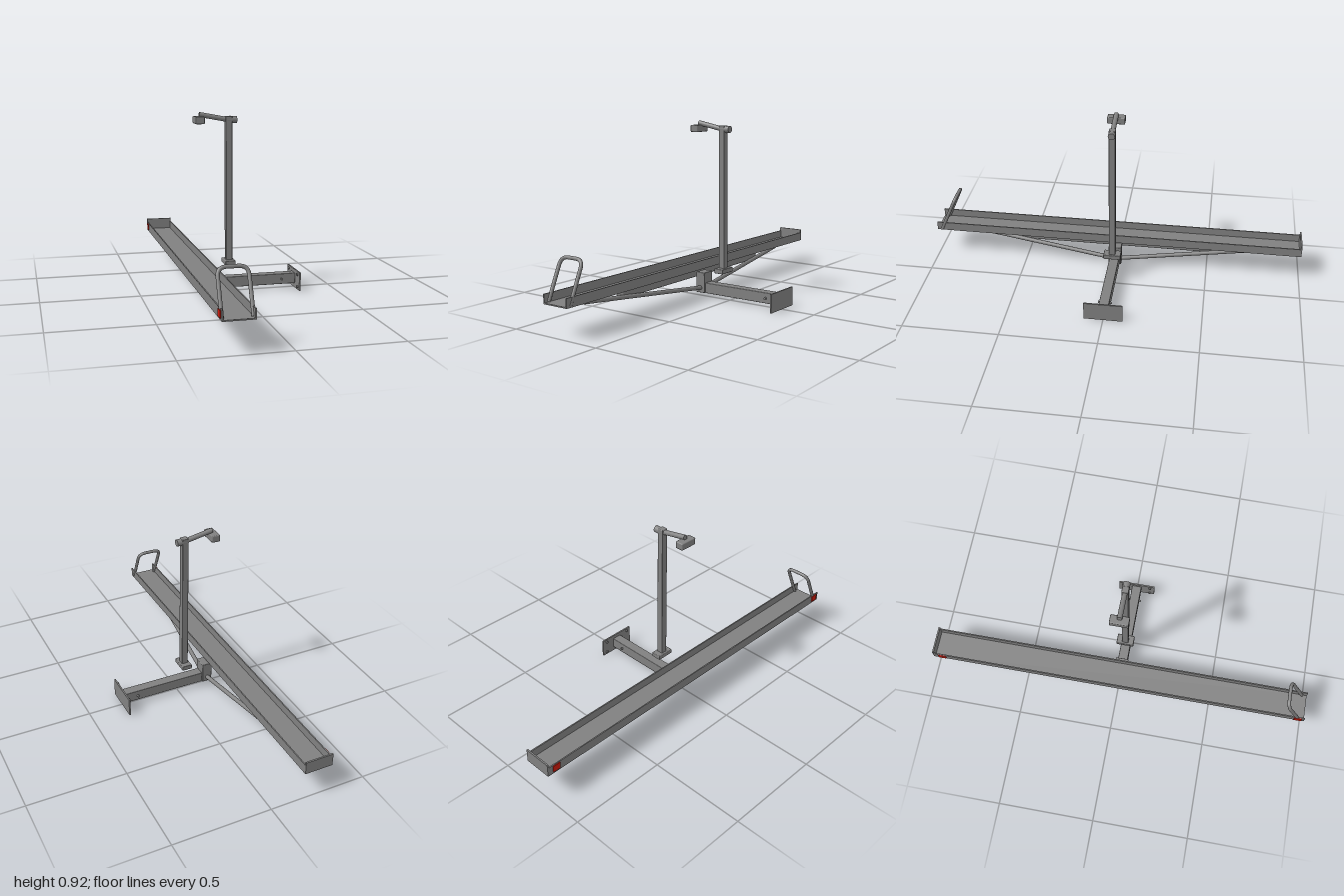
import * as THREE from 'three';
import { RoundedBoxGeometry } from 'three/addons/geometries/RoundedBoxGeometry.js';

const steel = new THREE.MeshStandardMaterial({ color: 0x808080 });
steel.name = 'grey steel';
const red = new THREE.MeshStandardMaterial({ color: 0xcc1a0a });
red.name = 'reflector red';

export function createModel() {
  const model = new THREE.Group();
  model.name = 'carrierRack';

  const add = (name, geometry, material = steel) => {
    const mesh = new THREE.Mesh(geometry, material);
    mesh.name = name;
    model.add(mesh);
    return mesh;
  };

  // Box given by its limits on each axis, with optional rounded edges
  const box = (name, [x0, x1], [y0, y1], [z0, z1], round = 0, material = steel) => {
    const size = [x1 - x0, y1 - y0, z1 - z0];
    const geometry = round
      ? new RoundedBoxGeometry(...size, 2, round)
      : new THREE.BoxGeometry(...size);
    const mesh = add(name, geometry, material);
    mesh.position.set((x0 + x1) / 2, (y0 + y1) / 2, (z0 + z1) / 2);
    return mesh;
  };

  // Round bar between two points
  const rod = (name, from, to, radius) => {
    const a = new THREE.Vector3(...from), b = new THREE.Vector3(...to);
    const dir = b.clone().sub(a);
    const mesh = add(name, new THREE.CylinderGeometry(radius, radius, dir.length(), 24));
    mesh.position.copy(a).add(b).multiplyScalar(0.5);
    mesh.quaternion.setFromUnitVectors(new THREE.Vector3(0, 1, 0), dir.normalize());
    return mesh;
  };

  // Long U-shaped wheel tray with a closed back end
  const cx = -0.241, half = 0.0725, wall = 0.006, low = 0.146, high = 0.193;
  const profile = new THREE.Shape([
    [cx - half, low], [cx + half, low], [cx + half, high], [cx + half - wall, high],
    [cx + half - wall, low + wall], [cx - half + wall, low + wall],
    [cx - half + wall, high], [cx - half, high],
  ].map(p => new THREE.Vector2(...p)));
  const trayGeometry = new THREE.ExtrudeGeometry(profile, { depth: 1.992, bevelEnabled: false });
  trayGeometry.translate(0, 0, -0.992);
  add('wheelTray', trayGeometry);
  box('trayEndPlate', [cx - half, cx + half], [low, 0.212], [-1, -0.992]);

  // Leaning hoop handle at the front of the tray
  const hw = 0.067, top = 0.212, r = 0.042;
  const onHoop = (x, s) => new THREE.Vector3(cx + x, 0.152 + 0.912 * s, 0.974 - 0.41 * s);
  const path = new THREE.CurvePath();
  path.add(new THREE.LineCurve3(onHoop(-hw, 0), onHoop(-hw, top - r)));
  path.add(new THREE.QuadraticBezierCurve3(onHoop(-hw, top - r), onHoop(-hw, top), onHoop(-hw + r, top)));
  path.add(new THREE.LineCurve3(onHoop(-hw + r, top), onHoop(hw - r, top)));
  path.add(new THREE.QuadraticBezierCurve3(onHoop(hw - r, top), onHoop(hw, top), onHoop(hw, top - r)));
  path.add(new THREE.LineCurve3(onHoop(hw, top - r), onHoop(hw, 0)));
  add('hoopHandle', new THREE.TubeGeometry(path, 96, 0.009, 16));

  // Reflectors on the outer side of the tray
  for (const z of [-0.95, 0.965]) {
    box('reflector', [-0.318, -0.3135], [0.156, 0.189], [z - 0.02, z + 0.02], 0, red);
  }

  // Rail under the tray and the two slanted braces
  box('underRail', [-0.263, -0.219], [0.096, 0.138], [-0.57, 0.575], 0.004);
  for (const side of [-1, 1]) {
    rod('brace', [-0.243, 0.127, side * 0.815], [-0.166, 0.05, side * 0.03], 0.011);
  }

  // Mounting arm with upright bracket, cross pin and bolted end plate
  box('armBracket', [-0.193, -0.139], [0.024, 0.133], [-0.035, 0.035], 0.004);
  box('mountArm', [-0.14, 0.31], [0.023, 0.078], [-0.026, 0.026], 0.003);
  rod('crossPin', [0.236, 0.05, -0.036], [0.236, 0.05, 0.036], 0.006);
  box('endPlate', [0.309, 0.317], [0, 0.096], [-0.1, 0.1]);
  for (const y of [0.015, 0.081]) {
    for (const z of [-0.075, 0.075]) rod('plateBolt', [0.302, y, z], [0.31, y, z], 0.007);
  }

  // Mast with its foot
  box('mast', [-0.059, -0.025], [0.16, 0.902], [-0.017, 0.017], 0.004);
  box('mastFoot', [-0.069, -0.015], [0.142, 0.167], [-0.046, 0.046], 0.004);

  // Pivot, clamp arm and clamp pad at the top of the mast
  rod('pivotKnob', [-0.05, 0.884, 0], [0, 0.884, 0], 0.0175);
  rod('clampArm', [-0.193, 0.912, 0], [-0.04, 0.883, 0], 0.0125);
  box('clampPad', [-0.217, -0.172], [0.866, 0.902], [-0.046, 0.046], 0.005);

  return model;
}
